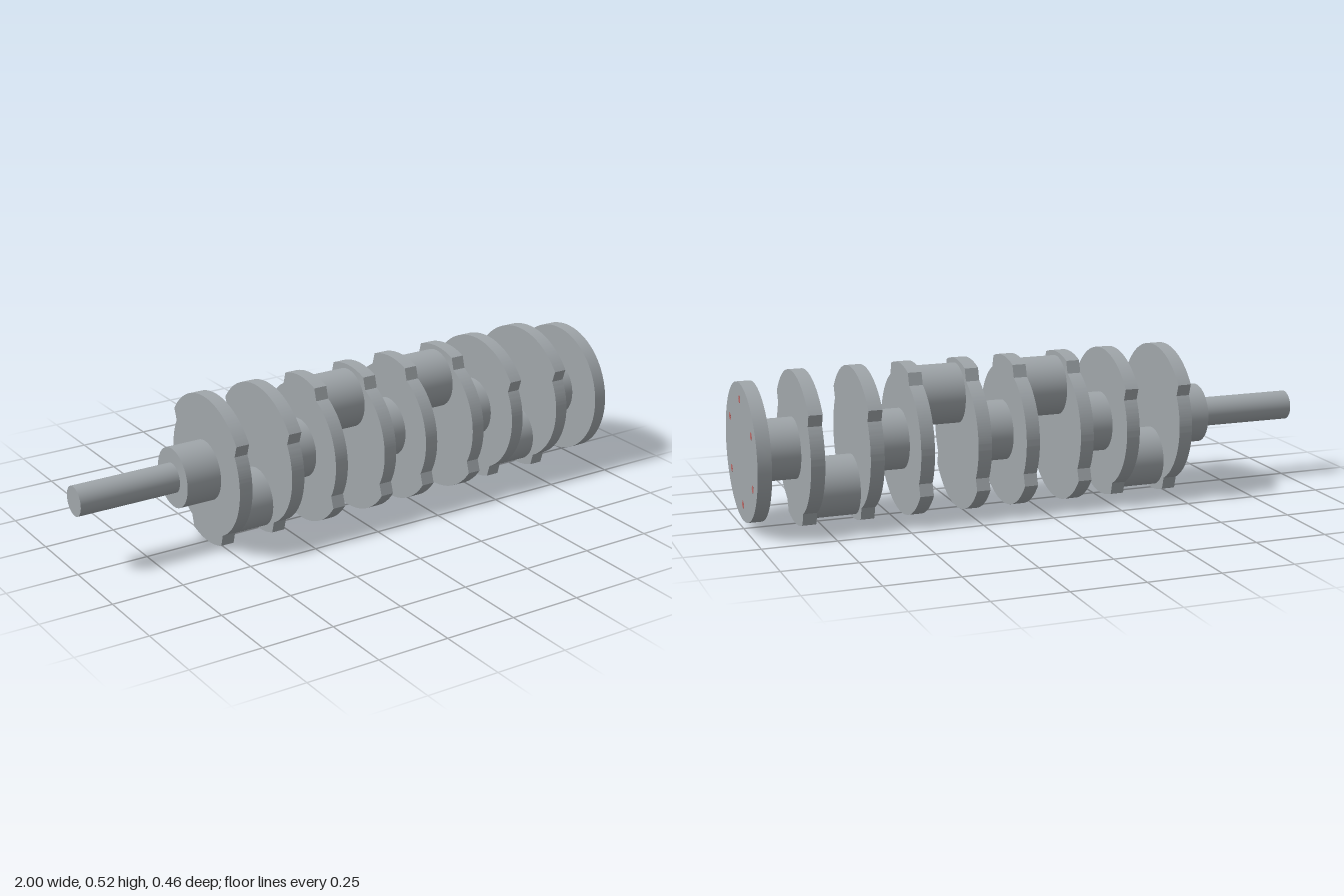
import * as THREE from 'three';
import { toCreasedNormals } from 'three/addons/utils/BufferGeometryUtils.js';

const AXIS_Y = 0.259;     // height of the main axis
const WEB = 0.047;        // thickness of webs and flange
const THROW = 0.142;      // offset of crank pins from the main axis

export function createModel() {
  const model = new THREE.Group();
  model.name = 'crankshaft';

  const steel = new THREE.MeshStandardMaterial({ color: 0xa0a6aa });
  steel.name = 'steel grey';
  const red = new THREE.MeshStandardMaterial({ color: 0xb86a68 });
  red.name = 'bolt red';

  function add(name, geometry, material, x, y, z = 0) {
    const mesh = new THREE.Mesh(geometry, material);
    mesh.name = name;
    mesh.position.set(x, y, z);
    model.add(mesh);
    return mesh;
  }

  // Cylinder lying along x between two stations
  function shaft(name, x0, x1, radius, y = AXIS_Y) {
    const g = new THREE.CylinderGeometry(radius, radius, x1 - x0, 72);
    g.rotateZ(-Math.PI / 2);
    return add(name, g, steel, (x0 + x1) / 2, y);
  }

  // Extrude a profile along x, starting at x = 0
  function extrudeX(shape, depth) {
    const g = new THREE.ExtrudeGeometry(shape, { depth, bevelEnabled: false, curveSegments: 40 });
    g.rotateY(Math.PI / 2);
    return toCreasedNormals(g, 0.35);
  }

  // Web profile: disc with a wide counterweight above and a narrow tab below
  const web = new THREE.Shape();
  const arcs = [
    [0.259, 35.9, 144.1],
    [0.226, 150.3, 242.3],
    [0.259, 249, 291],
    [0.226, 297.7, 389.7],
  ];
  for (const [r, a, b] of arcs) {
    web.absarc(0, 0, r, THREE.MathUtils.degToRad(a), THREE.MathUtils.degToRad(b), false);
  }
  web.closePath();
  const webGeometry = extrudeX(web, WEB);

  // Webs in pairs, each pair joined by a pin on the side away from the counterweight
  const throws = [
    { x: [-0.521, -0.324], side: -1 },
    { x: [-0.154, 0.041], side: 1 },
    { x: [0.211, 0.409], side: 1 },
    { x: [0.58, 0.778], side: -1 },
  ];
  let journalStart = -0.645;
  throws.forEach(({ x, side }, i) => {
    x.forEach((wx, k) => {
      const mesh = add(`web${i * 2 + k + 1}`, webGeometry, steel, wx, AXIS_Y);
      if (side > 0) mesh.rotation.x = Math.PI;
    });
    shaft(`crankPin${i + 1}`, x[0] + WEB, x[1], 0.102, AXIS_Y + side * THROW);
    shaft(`mainJournal${i + 1}`, journalStart, x[0], 0.103);
    journalStart = x[1] + WEB;
  });
  shaft('mainJournal5', journalStart, 1 - WEB, 0.103);

  // Shaft ends
  shaft('snout', -1, -0.645, 0.051);
  shaft('flange', 1 - WEB, 0.9995, 0.232);

  // Ring of small star-shaped bolt ends, almost flush with the flange
  const star = new THREE.Shape();
  for (let i = 0; i < 28; i++) {
    const r = i % 2 ? 0.011 : 0.014;
    const a = (i * Math.PI) / 14;
    star[i ? 'lineTo' : 'moveTo'](r * Math.cos(a), r * Math.sin(a));
  }
  star.closePath();
  const boltGeometry = extrudeX(star, 0.005);
  for (let i = 0; i < 6; i++) {
    const a = Math.PI / 2 + (i * Math.PI) / 3;
    add(`flangeBolt${i + 1}`, boltGeometry, red, 0.995, AXIS_Y + 0.177 * Math.sin(a), 0.177 * Math.cos(a));
  }

  return model;
}
